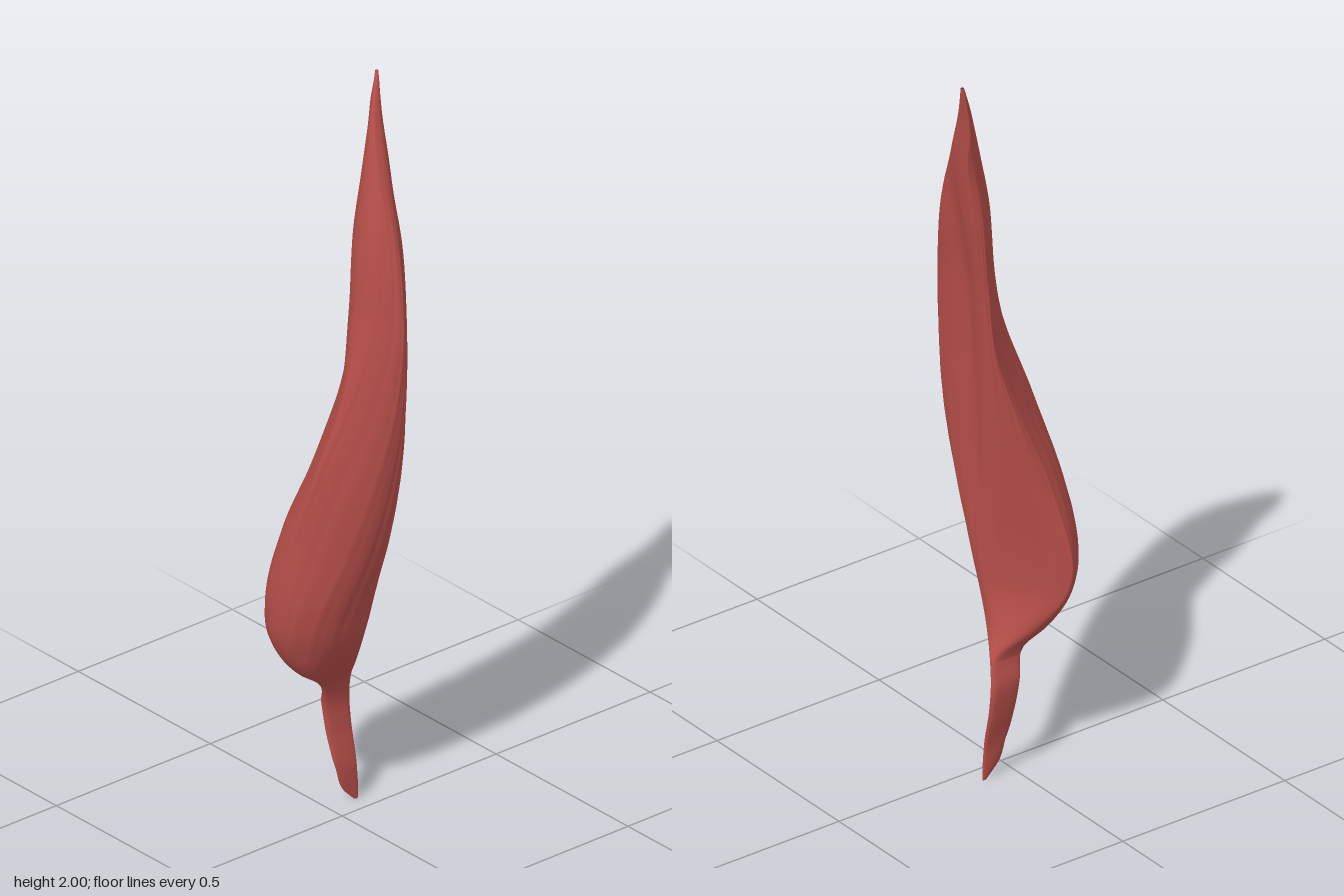
import * as THREE from 'three';

// Limits of each cross-section, bottom to top: y, x min, x max, z min, z max
const BOUNDS = [
  [0.00, 0.082, 0.095, -0.053, -0.047],
  [0.04, 0.044, 0.095, -0.056, -0.046],
  [0.10, 0.025, 0.092, -0.060, -0.046],
  [0.20, 0.011, 0.092, -0.084, -0.064],
  [0.28, 0.004, 0.090, -0.094, -0.068],
  [0.35, -0.022, 0.080, -0.080, -0.046],
  [0.41, -0.098, 0.057, -0.112, -0.006],
  [0.50, -0.158, 0.052, -0.152, 0.040],
  [0.60, -0.175, 0.060, -0.165, 0.070],
  [0.80, -0.155, 0.070, -0.125, 0.120],
  [1.00, -0.120, 0.080, -0.090, 0.150],
  [1.20, -0.060, 0.090, -0.066, 0.165],
  [1.40, -0.010, 0.105, -0.062, 0.162],
  [1.60, 0.020, 0.135, -0.068, 0.125],
  [1.75, 0.060, 0.148, -0.060, 0.065],
  [1.90, 0.112, 0.156, -0.075, -0.010],
  [2.00, 0.163, 0.171, -0.068, -0.060],
];

// Limits along the diagonals u = (x - z) / √2 and v = (x + z) / √2: y, u min, u max, v min, v max
const DIAGONALS = [
  [0.00, 0.095, 0.103, 0.024, 0.031],
  [0.10, 0.055, 0.104, -0.020, 0.028],
  [0.20, 0.060, 0.118, -0.045, 0.014],
  [0.28, 0.058, 0.123, -0.057, 0.009],
  [0.35, 0.025, 0.105, -0.060, 0.015],
  [0.41, -0.048, 0.080, -0.125, 0.030],
  [0.50, -0.095, 0.055, -0.178, 0.052],
  [0.60, -0.120, 0.052, -0.190, 0.075],
  [0.80, -0.126, 0.064, -0.148, 0.120],
  [1.00, -0.119, 0.078, -0.068, 0.150],
  [1.20, -0.100, 0.092, -0.003, 0.163],
  [1.40, -0.078, 0.107, 0.014, 0.163],
  [1.60, -0.045, 0.130, 0.022, 0.148],
  [1.75, 0.005, 0.145, 0.040, 0.120],
  [1.90, 0.088, 0.160, 0.058, 0.090],
  [2.00, 0.161, 0.167, 0.069, 0.077],
];

const { clamp, lerp, smoothstep } = THREE.MathUtils;

const interpolate = (rows) => new THREE.CubicInterpolant(
  rows.map((r) => r[0]), rows.flatMap((r) => r.slice(1)), 4, new Float32Array(4),
);
const boundsAt = interpolate(BOUNDS);
const diagonalsAt = interpolate(DIAGONALS);

// Smooth ring that touches all eight limits at height y
function ring(y, sides) {
  const [x0, x1, z0, z1] = boundsAt.evaluate(y);
  const [u0, u1, v0, v1] = Array.from(diagonalsAt.evaluate(y), (d) => d * Math.SQRT2);
  // Both ends of one straight side, kept in order and inside the box
  const side = (from, to, min, max) => {
    const a = clamp(from, min, max);
    const b = clamp(to, min, max);
    return a <= b ? [a, b] : [(a + b) / 2, (a + b) / 2];
  };
  const right = side(x1 - u1, v1 - x1, z0, z1);
  const front = side(z1 + u0, v1 - z1, x0, x1);
  const left = side(v0 - x0, x0 - u0, z0, z1);
  const back = side(v0 - z0, z0 + u1, x0, x1);
  const corners = [
    [x1, right[0]], [x1, right[1]], [front[1], z1], [front[0], z1],
    [x0, left[1]], [x0, left[0]], [back[0], z0], [back[1], z0],
  ];

  const cx = (x0 + x1) / 2;
  const cz = (z0 + z1) / 2;
  const hollow = 0.02 * smoothstep(y, 0.55, 0.9) * (1 - smoothstep(y, 1.55, 1.85));
  const belly = smoothstep(y, 0.36, 0.6) * (1 - smoothstep(y, 1.5, 1.9));
  const points = [];
  for (let i = 0; i < sides; i++) {
    // Quadratic B-spline around the eight corners
    const s = (i / sides) * 8;
    const n = Math.floor(s);
    const f = s - n;
    const weights = [((1 - f) ** 2) / 2, 0.5 + f - f * f, (f * f) / 2];
    let x = 0;
    let z = 0;
    weights.forEach((w, k) => {
      x += w * corners[(n + k) % 8][0];
      z += w * corners[(n + k) % 8][1];
    });
    // Fine fibres that wind diagonally around the belly
    const t = (i / sides) * Math.PI * 2;
    const k = 1 + 0.007 * belly * (Math.sin(17 * t + 14 * y) + 0.6 * Math.sin(29 * t + 23 * y));
    x = cx + (x - cx) * k;
    z = cz + (z - cz) * k;
    // Long hollow down the inner face
    const facing = Math.max(0, (x - cx) / (x1 - cx));
    x -= hollow * facing * Math.exp(-(((z - 0.03) / 0.04) ** 2));
    points.push(x, y, z);
  }
  return points;
}

// Closed rings joined from yStart to yEnd
function loft(yStart, yEnd, rows, sides) {
  const positions = [];
  const index = [];
  for (let j = 0; j <= rows; j++) positions.push(...ring(lerp(yStart, yEnd, j / rows), sides));
  for (let j = 0; j < rows; j++) {
    for (let i = 0; i < sides; i++) {
      const a = j * sides + i;
      const b = j * sides + ((i + 1) % sides);
      index.push(a, a + sides, b, b, a + sides, b + sides);
    }
  }
  const geometry = new THREE.BufferGeometry();
  geometry.setAttribute('position', new THREE.Float32BufferAttribute(positions, 3));
  geometry.setIndex(index);
  geometry.computeVertexNormals();
  return geometry;
}

export function createModel() {
  const group = new THREE.Group();
  group.name = 'muscle';
  const red = new THREE.MeshStandardMaterial({ color: 0xb44d48, side: THREE.DoubleSide });
  red.name = 'muscle red';

  // Flat ribbon at the lower end
  const tendon = new THREE.Mesh(loft(0, 0.34, 24, 96), red);
  tendon.name = 'tendon';

  // Long twisted belly tapering to the upper tip
  const belly = new THREE.Mesh(loft(0.34, 2, 110, 96), red);
  belly.name = 'muscleBelly';

  group.add(tendon, belly);
  return group;
}
